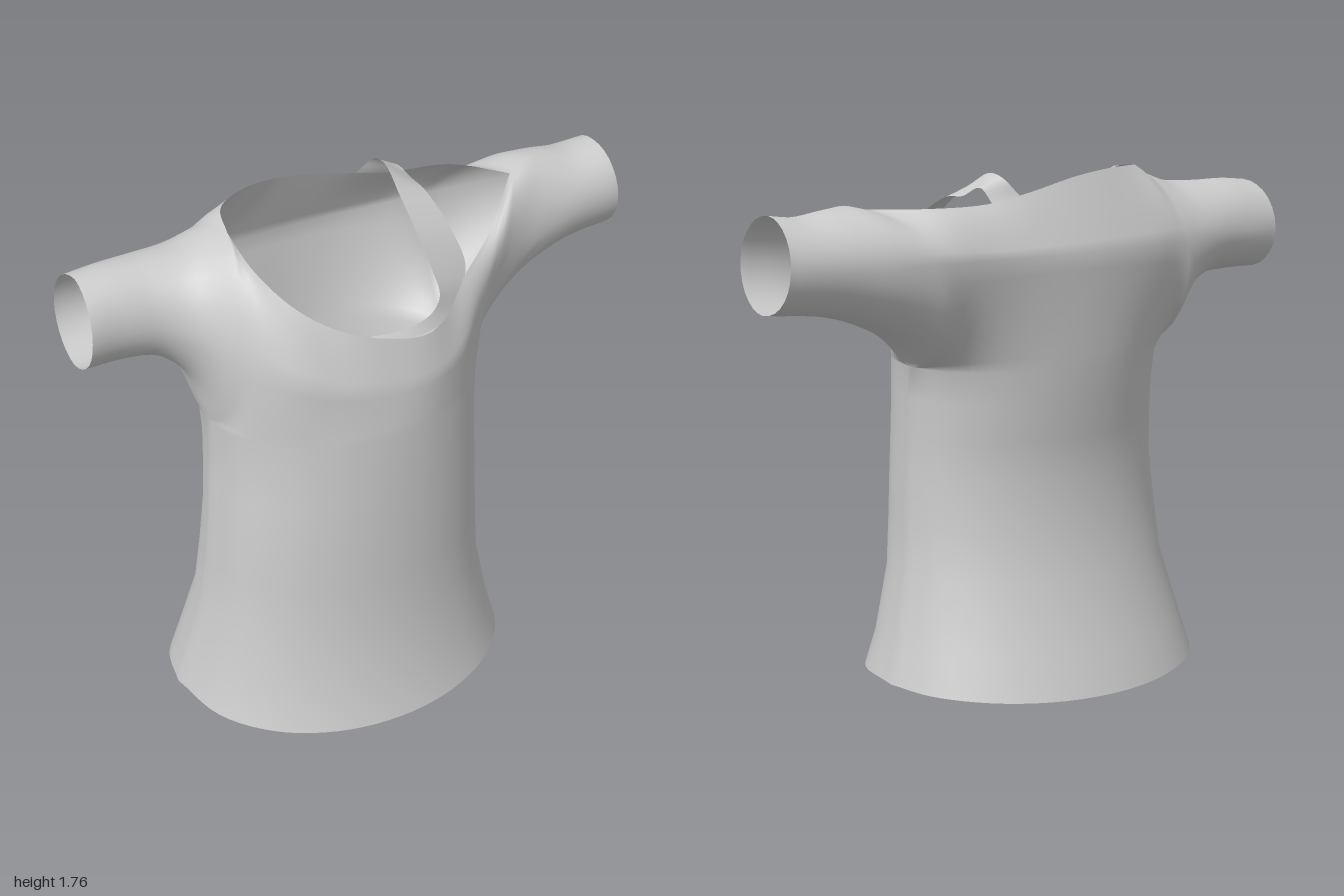
import * as THREE from 'three';
import { mergeGeometries, mergeVertices } from 'three/addons/utils/BufferGeometryUtils.js';

const STEP = 5;            // columns between two stations
const A = 4, B = 12, N = 16; // stations: right sleeve 0-4, body 4-12, left sleeve 12-16
const { lerp } = THREE.MathUtils;

const vecs = (pts) => pts.map((p) => new THREE.Vector3(...p));
const curve = (pts) => new THREE.CatmullRomCurve3(pts);

// A smooth line through all stations; s is the station number
function line(pts) {
  const c = curve(pts);
  return (s) => c.getPoint(s / (pts.length - 1));
}

// Three lines joined end to end: right sleeve, body, left sleeve
function edge(right, body, left) {
  const r = line(right), m = line(body), l = line(left);
  return (s) => (s <= A ? r(s) : s <= B ? m(s - A) : l(s - B));
}

// Sheet of quads from a rule point(i, j)
function sheet(i0, i1, rows, point, flip) {
  const pos = [], index = [], n = rows + 1;
  for (let i = i0; i <= i1; i++) {
    for (let j = 0; j <= rows; j++) {
      pos.push(...point(i, j).toArray());
      if (i === i1 || j === rows) continue;
      const a = (i - i0) * n + j, b = a + n;
      if (flip) index.push(a, b + 1, b, a, a + 1, b + 1);
      else index.push(a, b, b + 1, a, b + 1, a + 1);
    }
  }
  const g = new THREE.BufferGeometry();
  g.setAttribute('position', new THREE.Float32BufferAttribute(pos, 3));
  g.setIndex(index);
  return g;
}

// Chest ring at armpit height, right armpit to left armpit
const CX = -0.1275, CZ = -0.02, RX = 0.4825, FRONT = 0.405, BACK = 0.345, ARMPIT = 1.11;
function chestHalf(side) {
  const pts = [];
  for (let k = 0; k <= 8; k++) {
    const a = Math.PI * (1 - k / 8);
    const depth = side > 0 ? FRONT * Math.pow(Math.abs(Math.sin(a)), 0.85) : -BACK * Math.sin(a);
    const end = k === 0 || k === 8;
    pts.push(new THREE.Vector3(CX + RX * Math.cos(a), ARMPIT, end ? CZ : CZ + depth));
  }
  return pts;
}

// Sleeve undersides and ridges
const underRight = vecs([[-1, 1.36, -0.155], [-0.86, 1.36, -0.15], [-0.74, 1.345, -0.13], [-0.65, 1.27, -0.08], [CX - RX, ARMPIT, CZ]]);
const underLeft = vecs([[CX + RX, ARMPIT, CZ], [0.45, 1.2, -0.08], [0.58, 1.27, -0.12], [0.78, 1.335, -0.15], [1, 1.36, -0.155]]);
const ridgeRight = vecs([[-0.975, 1.67, -0.155], [-0.87, 1.68, -0.155], [-0.74, 1.68, -0.15], [-0.6, 1.69, -0.13], [-0.48, 1.74, -0.07]]);
const ridgeLeft = vecs([[0.6, 1.66, -0.1], [0.68, 1.68, -0.13], [0.77, 1.675, -0.15], [0.88, 1.66, -0.155], [0.975, 1.67, -0.155]]);

// Necklines between the two neck corners
const neckFront = vecs([[-0.48, 1.74, -0.07], [-0.47, 1.68, 0.08], [-0.4, 1.59, 0.2], [-0.29, 1.51, 0.27], [-0.15, 1.455, 0.315],
  [0.05, 1.42, 0.32], [0.24, 1.48, 0.18], [0.45, 1.55, 0.03], [0.6, 1.66, -0.1]]);
const neckBack = vecs([[-0.48, 1.74, -0.07], [-0.44, 1.755, -0.2], [-0.36, 1.76, -0.26], [-0.24, 1.758, -0.295], [-0.1, 1.74, -0.305],
  [0.08, 1.7, -0.305], [0.24, 1.67, -0.29], [0.45, 1.665, -0.25], [0.6, 1.66, -0.1]]);

// Fullest line of the front and back, cuff to cuff
const fullFront = vecs([[-0.99, 1.515, -0.005], [-0.865, 1.51, -0.01], [-0.745, 1.5, 0.005], [-0.65, 1.47, 0.06], [-0.57, 1.43, 0.16],
  [-0.51, 1.4, 0.24], [-0.42, 1.36, 0.31], [-0.29, 1.31, 0.35], [-0.12, 1.28, 0.365], [0.06, 1.28, 0.355], [0.2, 1.31, 0.29],
  [0.32, 1.34, 0.18], [0.43, 1.37, 0.09], [0.57, 1.41, 0.03], [0.69, 1.46, 0.005], [0.84, 1.5, -0.005], [0.99, 1.515, -0.005]]);
const fullBack = vecs([[-0.99, 1.515, -0.315], [-0.865, 1.51, -0.325], [-0.745, 1.51, -0.338], [-0.65, 1.5, -0.35], [-0.57, 1.49, -0.36],
  [-0.5, 1.5, -0.37], [-0.4, 1.5, -0.385], [-0.26, 1.5, -0.395], [-0.1, 1.5, -0.4], [0.07, 1.5, -0.395], [0.22, 1.5, -0.385],
  [0.35, 1.5, -0.375], [0.46, 1.5, -0.37], [0.58, 1.5, -0.36], [0.7, 1.5, -0.345], [0.84, 1.51, -0.33], [0.99, 1.515, -0.315]]);

// Torso levels: y, xMin, xMax, zMin, zMax
const levels = [
  [0.03, -0.755, 0.46, -0.48, 0.485], [0.15, -0.72, 0.425, -0.43, 0.44], [0.38, -0.665, 0.37, -0.35, 0.41],
  [0.56, -0.645, 0.358, -0.328, 0.405], [0.73, -0.63, 0.35, -0.31, 0.4], [0.87, -0.615, 0.349, -0.33, 0.395],
  [1.0, -0.605, 0.35, -0.35, 0.39], [ARMPIT, CX - RX, CX + RX, CZ - BACK, CZ + FRONT],
];

// One side of the garment: sleeves and yoke above, torso below
function half(side) {
  const low = edge(underRight, chestHalf(side), underLeft);
  const high = edge(ridgeRight, side > 0 ? neckFront : neckBack, ridgeLeft);
  const full = line(side > 0 ? fullFront : fullBack);
  const rows = 14, flip = side < 0;

  const yoke = sheet(0, N * STEP, rows, (i, j) => {
    const s = i / STEP, v = (2 * j) / rows;
    const p = low(s), m = full(s), q = high(s);
    // round section on the sleeves, flatter on the chest
    const flat = s > A && s < B ? Math.sin((Math.PI * (s - A)) / (B - A)) : 0;
    const [from, to, t] = v <= 1 ? [p, m, v] : [q, m, 2 - v];
    const a = (t * Math.PI) / 2;
    const out = lerp(Math.sin(a), t, flat), up = lerp(1 - Math.cos(a), t, flat);
    return new THREE.Vector3(lerp(from.x, to.x, t), lerp(from.y, to.y, up), lerp(from.z, to.z, out));
  }, flip);

  const torso = sheet(A * STEP, B * STEP, levels.length - 1, (i, j) => {
    const p = low(i / STEP), [y, x0, x1, z0, z1] = levels[j];
    const fx = (p.x - (CX - RX)) / (2 * RX), fz = (p.z - (CZ - BACK)) / (FRONT + BACK);
    const z = lerp(z0, z1, fz);
    // the hem dips at the front and back
    const dip = j === 0 ? 0.03 * (z / 0.485) ** 2 : 0;
    return new THREE.Vector3(lerp(x0, x1, fx), y - dip, z);
  }, flip);
  return [yoke, torso];
}

export function createModel() {
  const group = new THREE.Group();
  group.name = 'offShoulderShirt';
  const cloth = new THREE.MeshStandardMaterial({ color: 0xcccccc, side: THREE.DoubleSide });

  const shirtGeometry = mergeVertices(mergeGeometries([...half(1), ...half(-1)]), 1e-4);
  shirtGeometry.computeVertexNormals();
  const shirt = new THREE.Mesh(shirtGeometry, cloth);
  shirt.name = 'shirtBodyAndSleeves';

  // Strap from the front neckline over the left shoulder to the back
  const inner = line(vecs([[-0.17, 1.46, 0.305], [-0.05, 1.45, 0.305], [0.06, 1.465, 0.29], [0.12, 1.5, 0.25], [0.13, 1.56, 0.18],
    [0.135, 1.65, 0.06], [0.155, 1.71, -0.08], [0.17, 1.76, -0.2], [0.165, 1.75, -0.27], [0.12, 1.69, -0.307]]));
  const outer = line(vecs([[-0.17, 1.458, 0.312], [-0.03, 1.428, 0.322], [0.1, 1.425, 0.297], [0.2, 1.458, 0.22], [0.29, 1.505, 0.13],
    [0.285, 1.6, 0.04], [0.27, 1.68, -0.1], [0.265, 1.69, -0.19], [0.24, 1.72, -0.25], [0.22, 1.67, -0.292]]));
  const strapGeometry = sheet(0, 9 * STEP, 3, (i, j) => outer(i / STEP).lerp(inner(i / STEP), j / 3), false);
  strapGeometry.computeVertexNormals();
  const strap = new THREE.Mesh(strapGeometry, cloth);
  strap.name = 'shoulderStrap';

  group.add(shirt, strap);
  return group;
}
